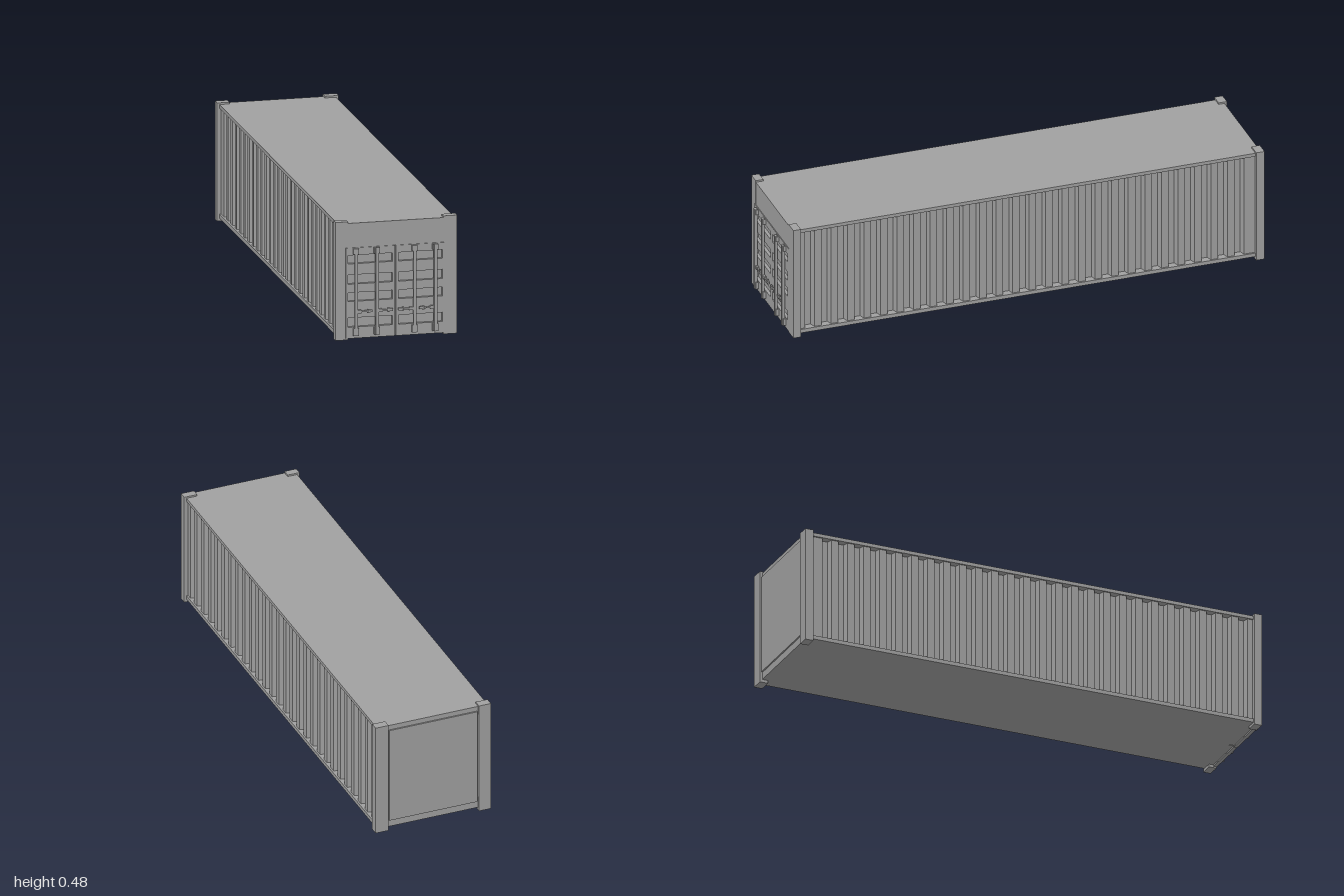
import * as THREE from 'three';

const material = new THREE.MeshStandardMaterial({ color: 0xa0a0a0, flatShading: true });

function add(parent, name, geometry) {
  const mesh = new THREE.Mesh(geometry, material);
  mesh.name = name;
  parent.add(mesh);
  return mesh;
}

// Box given by its minimum and maximum on each axis
function box(parent, name, x0, x1, y0, y1, z0, z1) {
  const mesh = add(parent, name, new THREE.BoxGeometry(x1 - x0, y1 - y0, z1 - z0));
  mesh.position.set((x0 + x1) / 2, (y0 + y1) / 2, (z0 + z1) / 2);
  return mesh;
}

// Trapezoidal side-wall wave, both walls drawn as one closed outline
function corrugatedWalls() {
  const outer = 0.231, inner = 0.207, pitch = 0.0695, count = 27;
  const front = 0.928;
  const edge = [[outer, 0.96]];
  for (let i = 0; i < count; i++) {
    const z = front - i * pitch;
    edge.push([outer, z], [inner, z - 0.007], [inner, z - 0.033], [outer, z - 0.04]);
  }
  edge.push([outer, -0.97]);
  const points = edge.map(([x, z]) => new THREE.Vector2(x, -z));
  const mirrored = edge.map(([x, z]) => new THREE.Vector2(-x, -z)).reverse();
  const geometry = new THREE.ExtrudeGeometry(new THREE.Shape([...points, ...mirrored]),
    { depth: 0.45, bevelEnabled: false });
  geometry.rotateX(-Math.PI / 2);
  geometry.translate(0, 0.02, 0);
  return geometry;
}

// Rectangle outline for shapes and holes
function rectangle(Type, x0, x1, y0, y1) {
  return new Type([[x0, y0], [x1, y0], [x1, y1], [x0, y1]].map(([x, y]) => new THREE.Vector2(x, y)));
}

// Door leaf with four recessed panels
function doorLeaf(parent, d) {
  const shape = rectangle(THREE.Shape, d.x0, d.x1, 0.006, 0.376);
  for (const [y0, y1] of [[0.052, 0.09], [0.157, 0.193], [0.228, 0.266], [0.311, 0.346]]) {
    shape.holes.push(rectangle(THREE.Path, d.p0, d.p1, y0, y1));
  }
  const leaf = add(parent, 'doorLeaf', new THREE.ExtrudeGeometry(shape, { depth: 0.015, bevelEnabled: false }));
  leaf.position.z = 0.969;
  box(parent, 'recessedPanels', d.p0 - 0.005, d.p1 + 0.005, 0.04, 0.36, 0.95, 0.9705);
}

// Vertical locking rod with its end brackets
function lockingRod(parent, x) {
  const rod = new THREE.Group();
  rod.name = 'lockingRod';
  parent.add(rod);
  box(rod, 'rodBar', x - 0.006, x + 0.006, 0.018, 0.375, 0.988, 0.9995);
  for (const [y0, y1] of [[0.351, 0.374], [0.018, 0.048]]) {
    for (const s of [-1, 1]) {
      const cx = x + s * 0.0085;
      box(rod, 'rodBracket', cx - 0.0025, cx + 0.0025, y0, y1, 0.98, 0.996);
    }
    box(rod, 'bracketPlate', x - 0.009, x + 0.009, y0 + 0.004, y1 - 0.004, 0.98, 0.9895);
  }
}

// Door handle reaching sideways from a rod, dir is +1 or -1
function handle(parent, x, dir) {
  const lever = new THREE.Group();
  lever.name = 'doorHandle';
  lever.position.set(x, 0.116, 0.991);
  parent.add(lever);
  const part = (name, a, b, h, d) => {
    const mesh = add(lever, name, new THREE.BoxGeometry(b - a, h, d));
    mesh.position.x = dir * (a + b) / 2;
  };
  part('handleHub', 0.004, 0.021, 0.013, 0.01);
  part('handleBar', 0.02, 0.05, 0.006, 0.006);
  part('handleGrip', 0.048, 0.066, 0.01, 0.007);
  const catchPin = add(lever, 'handleCatch', new THREE.CylinderGeometry(0.004, 0.004, 0.016, 8));
  catchPin.position.x = dir * 0.048;
}

export function createModel() {
  const model = new THREE.Group();
  model.name = 'shippingContainer';

  // Body: walls, roof, floor
  add(model, 'corrugatedWalls', corrugatedWalls());
  box(model, 'roof', -0.238, 0.238, 0.462, 0.4765, -0.988, 0.978);
  box(model, 'floor', -0.238, 0.238, 0.012, 0.028, -0.988, 0.976);

  // Corner posts
  for (const [x0, x1] of [[-0.248, -0.197], [0.192, 0.248]]) {
    for (const [z0, z1] of [[0.95, 0.982], [-1, -0.965]]) {
      box(model, 'cornerPost', x0, x1, 0, 0.4835, z0, z1);
    }
  }

  // Rear end: rails with the wall standing slightly proud of them
  box(model, 'rearTopRail', -0.2, 0.195, 0.44, 0.4765, -0.99, -0.95);
  box(model, 'rearBottomRail', -0.2, 0.195, 0.012, 0.06, -0.99, -0.95);
  box(model, 'rearWall', -0.192, 0.187, 0.042, 0.456, -0.996, -0.955);

  // Front header above the doors
  box(model, 'frontHeader', -0.198, 0.193, 0.376, 0.4765, 0.94, 0.981);

  // Doors with recessed panels, rods and handles
  const doors = [
    { x0: -0.207, x1: -0.006, p0: -0.197, p1: -0.017, rods: [[-0.167, 1], [-0.082, 1]] },
    { x0: -0.002, x1: 0.199, p0: 0.008, p1: 0.187, rods: [[0.072, -1], [0.157, -1]] },
  ];
  for (const d of doors) {
    const door = new THREE.Group();
    door.name = 'door';
    model.add(door);
    doorLeaf(door, d);
    for (const [x, dir] of d.rods) {
      lockingRod(door, x);
      handle(door, x, dir);
    }
  }
  box(model, 'doorSeal', -0.008, 0, 0.01, 0.376, 0.95, 0.974);
  return model;
}
